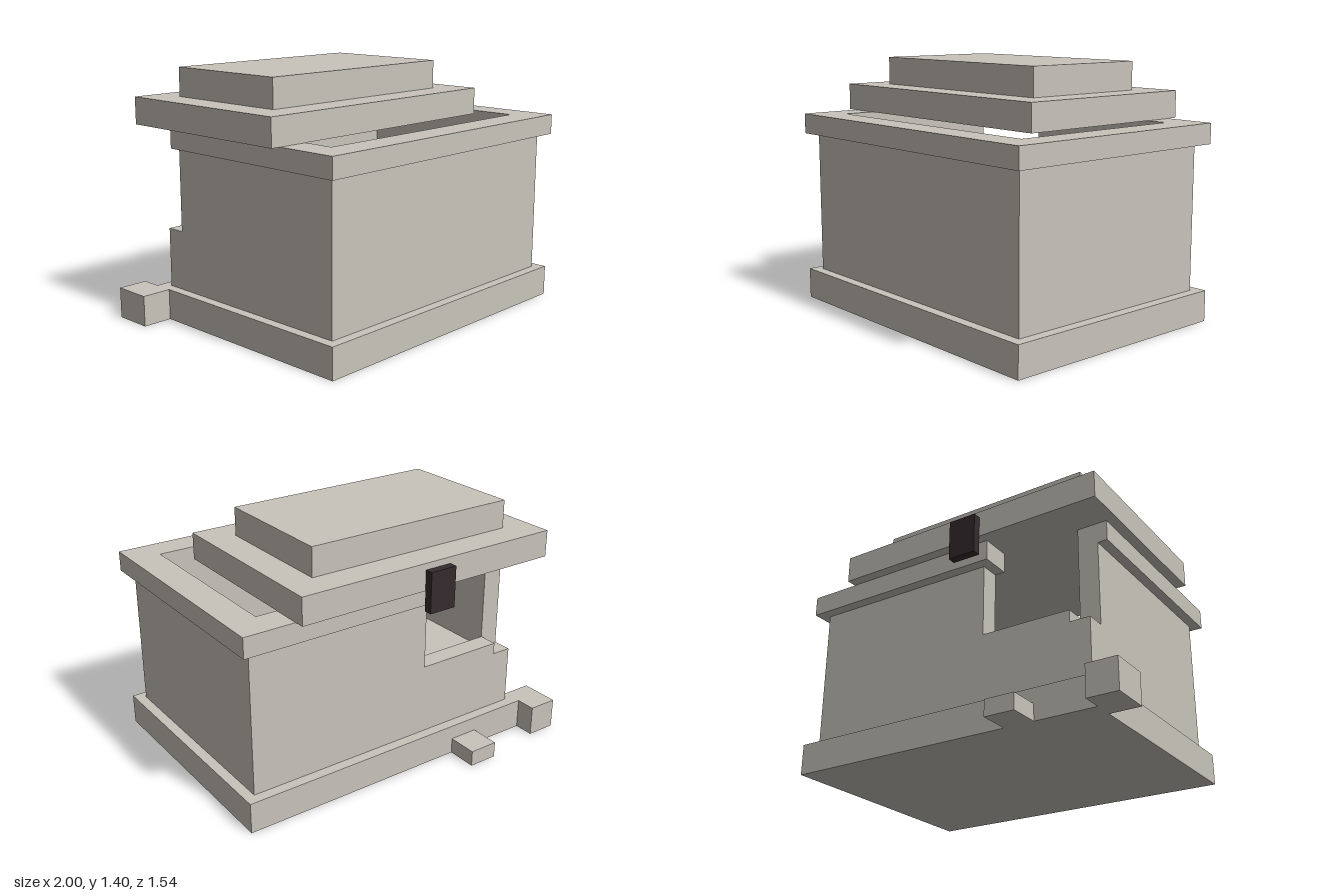
import * as THREE from 'three';

export function createModel() {
  const stone = new THREE.MeshStandardMaterial({ color: 0xc8c4bb });
  stone.name = 'stone';
  const dark = new THREE.MeshStandardMaterial({ color: 0x352b2e });
  dark.name = 'darkPlaque';

  const model = new THREE.Group();
  model.name = 'stoneTomb';

  // Box given by its limits on each axis
  function box(name, [x0, x1], [y0, y1], [z0, z1], material = stone) {
    const mesh = new THREE.Mesh(new THREE.BoxGeometry(x1 - x0, y1 - y0, z1 - z0), material);
    mesh.position.set((x0 + x1) / 2, (y0 + y1) / 2, (z0 + z1) / 2);
    mesh.name = name;
    model.add(mesh);
  }

  // Inner opening shared by the walls and the rim
  const inner = { x0: -0.66, x1: 0.83, z0: -0.43, z1: 0.6 };

  // Ring around the opening, broken away at the back corner from cutX
  function brokenRing(name, x0, x1, z0, z1, cutX, y0, y1) {
    const shape = new THREE.Shape([
      [cutX, z0], [x1, z0], [x1, z1], [x0, z1], [x0, inner.z0],
      [inner.x0, inner.z0], [inner.x0, inner.z1], [inner.x1, inner.z1],
      [inner.x1, inner.z0], [cutX, inner.z0],
    ].map(([x, z]) => new THREE.Vector2(x, z)));
    const geometry = new THREE.ExtrudeGeometry(shape, { depth: y1 - y0, bevelEnabled: false });
    geometry.rotateX(Math.PI / 2);
    const mesh = new THREE.Mesh(geometry, stone);
    mesh.position.y = y1;
    mesh.name = name;
    model.add(mesh);
  }

  // Plinth and filled lower body
  box('plinth', [-0.83, 1], [0, 0.172], [-0.6, 0.77]);
  box('lowerBody', [-0.775, 0.942], [0.172, 0.505], [-0.54, 0.714]);

  // Hollow upper walls with the broken back corner
  brokenRing('upperWalls', -0.775, 0.942, -0.54, 0.714, -0.147, 0.505, 0.974);
  box('brokenSill', [inner.x0, -0.147], [0.505, 0.571], [-0.54, inner.z0]);
  brokenRing('rim', -0.83, 1, -0.6, 0.77, -0.205, 0.974, 1.087);

  // Two-step lid, pushed off centre
  box('lidSlab', [-0.887, 0.711], [1.087, 1.238], [-0.658, 0.426]);
  box('lidTop', [-0.716, 0.54], [1.238, 1.398], [-0.487, 0.255]);
  box('plaque', [-0.194, -0.034], [0.974, 1.202], [-0.704, -0.658], dark);

  // Fallen blocks
  box('largeRubble', [-1, -0.83], [0, 0.172], [-0.714, -0.491]);
  box('smallRubble', [-0.487, -0.318], [0, 0.09], [-0.772, -0.6]);

  return model;
}
